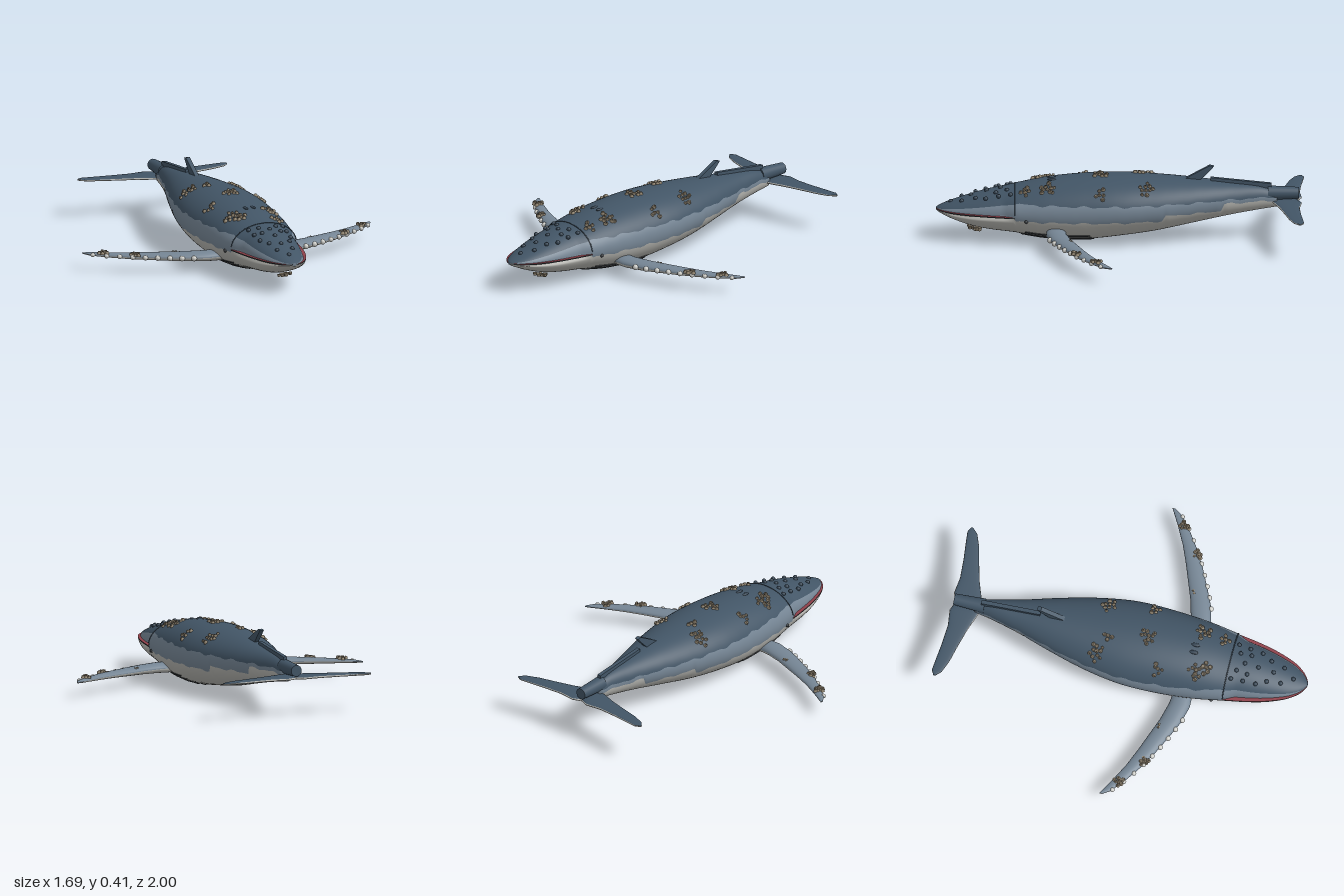
import * as THREE from 'three';

const mat = (name, color) => {
  const m = new THREE.MeshStandardMaterial({ color });
  m.name = name;
  return m;
};

// Body stations: z, half width, top y, bottom y
const STATIONS = [
  [1, 0.012, 0.178, 0.164], [0.98, 0.045, 0.188, 0.152], [0.95, 0.075, 0.2, 0.138], [0.9, 0.107, 0.218, 0.116],
  [0.8, 0.145, 0.25, 0.083], [0.7, 0.17, 0.277, 0.064], [0.57, 0.193, 0.303, 0.048], [0.4, 0.22, 0.337, 0.02],
  [0.2, 0.236, 0.358, 0.012], [0, 0.236, 0.363, 0.032], [-0.2, 0.205, 0.355, 0.06], [-0.4, 0.153, 0.34, 0.1],
  [-0.6, 0.092, 0.318, 0.14], [-0.75, 0.054, 0.3, 0.166], [-0.85, 0.034, 0.272, 0.182],
];

// Smooth interpolation between the stations
function station(z) {
  const S = STATIONS, last = S.length - 1;
  let i = 0;
  while (i < last - 1 && z < S[i + 1][0]) i++;
  const slope = (k, c) => {
    const a = S[Math.max(k - 1, 0)], b = S[Math.min(k + 1, last)];
    return (b[c] - a[c]) / (b[0] - a[0]);
  };
  const h = S[i + 1][0] - S[i][0], t = THREE.MathUtils.clamp((z - S[i][0]) / h, 0, 1);
  const [w, top, bot] = [1, 2, 3].map((c) =>
    S[i][c] * (2 * t ** 3 - 3 * t * t + 1) + S[i + 1][c] * (3 * t * t - 2 * t ** 3) +
    h * (slope(i, c) * (t ** 3 - 2 * t * t + t) + slope(i + 1, c) * (t ** 3 - t * t)));
  return { w, cy: (top + bot) / 2, h: (top - bot) / 2 };
}

// Point and normal on the skin at z and girth angle (0 = left side, 90 degrees = back)
function skin(z, a, lift = 0) {
  const s = station(z);
  const normal = new THREE.Vector3(Math.cos(a) / s.w, Math.sin(a) / s.h, 0).normalize();
  const point = new THREE.Vector3(s.w * Math.cos(a), s.cy + s.h * Math.sin(a), z).addScaledVector(normal, lift);
  return { point, normal };
}
const skinAbove = (x, z, lift) => skin(z, Math.acos(x / station(z).w), lift);

// Girth angle at which the skin reaches height y
function angleAt(z, y) {
  const s = station(z);
  return Math.asin(THREE.MathUtils.clamp((y - s.cy) / s.h, -0.9, 0.9));
}

// Closed loft through rings; slot(j) picks the material of each strip
function loft(name, rings, slot, materials, flip = false) {
  const n = rings[0].length, lists = materials.map(() => []), pos = [];
  const tri = (m, a, b, c) => lists[m].push(...(flip ? [a, c, b] : [a, b, c]));
  rings.forEach((r) => r.forEach((p) => pos.push(p.x, p.y, p.z)));
  for (let i = 0; i < rings.length - 1; i++) {
    for (let j = 0; j < n; j++) {
      const a = i * n + j, b = i * n + (j + 1) % n;
      tri(slot(j), a, a + n, b);
      tri(slot(j), b, a + n, b + n);
    }
  }
  const e = (rings.length - 1) * n;
  for (let j = 1; j < n - 1; j++) {
    tri(slot(j), 0, j, j + 1);
    tri(slot(j), e, e + j + 1, e + j);
  }
  const g = new THREE.BufferGeometry();
  g.setAttribute('position', new THREE.Float32BufferAttribute(pos, 3));
  g.setIndex(lists.flat());
  let start = 0;
  lists.forEach((l, m) => { g.addGroup(start, l.length, m); start += l.length; });
  g.computeVertexNormals();
  const mesh = new THREE.Mesh(g, materials);
  mesh.name = name;
  return mesh;
}

export function createModel() {
  const whale = new THREE.Group();
  whale.name = 'whale';
  const dark = mat('dark slate skin', 0x425566);
  const mid = mat('pale slate skin', 0x758594);
  const light = mat('light belly', 0xb6b6b1);
  const bump = mat('head bump', 0x354452);
  const groove = mat('groove shadow', 0x383c40);
  const lip = mat('lip red', 0x8f404a);
  const shell = mat('barnacle shell', 0x988b76);
  const hole = mat('barnacle opening', 0x4d4439);
  const knob = mat('pale knob', 0xcfcfca);
  const add = (name, geo, material, parent = whale) => {
    const m = new THREE.Mesh(geo, material);
    m.name = name;
    parent.add(m);
    return m;
  };
  let seed = 7;
  const rand = () => (seed = (seed * 16807) % 2147483647) / 2147483647;

  // Body: light belly, pale flank band, dark back; the upper jaw is narrower than the lower
  const H = 31, rings = [];
  for (let i = 0; i <= 100; i++) {
    const u = i / 100, z = 1 - 1.85 * u ** 1.2, head = z > 0.57;
    const wave = 0.004 * Math.sin(z * 40) + 0.003 * Math.sin(z * 71);
    const edge = angleAt(z, head ? 0.176 + (1 - z) * 0.15 : 0.245 + wave);
    const low = head ? 0 : Math.min(angleAt(z, (z > -0.24 ? 0.155 : z > -0.55 ? 0.185 : 0.225) + wave), edge);
    const jaw = 1 - 0.11 * THREE.MathUtils.clamp((z - 0.57) / 0.06, 0, 1);
    const ring = [];
    for (let j = 0; j < 2 * H; j++) {
      const k = j <= H ? j : 2 * H - j;
      const a = k <= 12 ? -Math.PI / 2 + (low + Math.PI / 2) * k / 12
        : k <= 18 ? low + (edge - low) * (k - 12) / 6
          : edge + (Math.PI / 2 - edge) * (k - 18) / 13;
      const { point } = skin(z, j <= H ? a : Math.PI - a);
      if (k >= 12) point.x *= jaw;
      ring.push(point);
    }
    rings.push(ring);
  }
  whale.add(loft('body', rings, (j) => {
    const k = j < H ? j : 2 * H - 1 - j;
    return k < 12 ? 0 : k < 18 ? 1 : 2;
  }, [light, mid, dark]));

  // Red rim of the lower jaw, a thin plate under the upper jaw
  const rim = [];
  for (let i = -24; i <= 24; i++) {
    const z = 1 - 0.43 * (i / 24) ** 2;
    rim.push(new THREE.Vector2(Math.sign(i) * (station(z).w + 0.002), -z));
  }
  const rimGeo = new THREE.ExtrudeGeometry(new THREE.Shape(rim), { depth: 0.006, bevelEnabled: false });
  rimGeo.rotateX(-Math.PI / 2).translate(0, 0.169, 0);
  add('lip', rimGeo, [lip, groove]);

  // Head seam and throat grooves
  const seam = [];
  for (let i = 0; i <= 20; i++) seam.push(skin(0.57, 0.1 + (Math.PI - 0.2) * i / 20).point);
  add('headSeam', new THREE.TubeGeometry(new THREE.CatmullRomCurve3(seam), 40, 0.003, 5), bump);
  for (let i = -5; i <= 5; i++) {
    const a = -Math.PI / 2 + i * 0.165, short = Math.abs(i) * 0.008, pts = [];
    for (let k = 0; k <= 14; k++) pts.push(skin(0.555 - short - (0.43 - 2 * short) * k / 14, a, 0.001).point);
    add('throatGroove', new THREE.TubeGeometry(new THREE.CatmullRomCurve3(pts), 30, 0.0048, 6), groove);
  }

  // Fin lofted from sections: x, leading z, trailing z, half thickness; the rims stay light if asked
  const fin = (name, sections, y, side, isTop, mats, power) => loft(name, sections.map(([x, lead, trail, t]) => {
    const ring = [];
    for (let j = 0; j < 20; j++) {
      const a = j / 20 * Math.PI * 2, s = j % 10 ? Math.sin(a) : 0;
      ring.push(new THREE.Vector3(side * x, y(x) + t * Math.sign(s) * Math.abs(s) ** power,
        (lead + trail) / 2 + (lead - trail) / 2 * Math.cos(a)));
    }
    return ring;
  }), (j) => (isTop(j) ? 0 : 1), mats, side < 0);

  const FLIPPER = [[0.14, 0.4, 0.3, 0.03], [0.25, 0.402, 0.288, 0.028], [0.35, 0.375, 0.262, 0.025],
    [0.45, 0.33, 0.225, 0.022], [0.55, 0.282, 0.188, 0.019], [0.65, 0.225, 0.147, 0.016],
    [0.75, 0.157, 0.096, 0.012], [0.82, 0.098, 0.056, 0.008], [0.845, 0.06, 0.042, 0.004]];
  const FLUKE = [[0, -0.815, -0.965, 0.009], [0.05, -0.83, -0.985, 0.009], [0.14, -0.863, -0.973, 0.009],
    [0.25, -0.893, -0.98, 0.008], [0.34, -0.915, -0.99, 0.007], [0.41, -0.942, -0.997, 0.006], [0.437, -0.97, -0.983, 0.005]];
  const finY = (x) => 0.09 + 0.006 * x;
  const leadAt = (x) => {
    const i = FLIPPER.findIndex((s) => s[0] >= x), a = FLIPPER[i - 1], b = FLIPPER[i];
    return a[1] + (b[1] - a[1]) * (x - a[0]) / (b[0] - a[0]);
  };
  const ball = new THREE.SphereGeometry(1, 14, 10);
  for (const side of [1, -1]) {
    whale.add(fin('flipper', FLIPPER, finY, side, (j) => j < 10, [mid, light], 1));
    whale.add(fin('tailFluke', FLUKE, () => 0.215, side, (j) => j > 0 && j < 9, [dark, light], 0.5));
    // Knobs on the leading edge of the flipper
    for (let i = 0; i < 9; i++) {
      const x = 0.33 + i * 0.06, k = add('flipperKnob', ball, knob);
      k.scale.setScalar(0.0155 - i * 0.0004);
      k.position.set(side * x, finY(x), leadAt(x));
    }
    // Eye and blowhole
    const eye = add('eye', ball, groove);
    eye.position.set(side * (station(0.51).w - 0.002), 0.155, 0.51);
    eye.scale.setScalar(0.01);
    const blow = add('blowhole', ball, bump);
    blow.position.copy(skinAbove(side * 0.022, 0.37, 0).point);
    blow.scale.set(0.011, 0.007, 0.025);
  }

  // Bumps on top of the head
  const bumps = [[0.1, 0.595], [0.05, 0.615], [0, 0.65], [0.095, 0.66], [0.055, 0.675], [0, 0.725], [0.09, 0.73],
    [0.06, 0.785], [0, 0.81], [0.045, 0.86], [0, 0.92]];
  for (const [x, z] of bumps) for (const side of x ? [1, -1] : [1]) {
    const b = add('headBump', ball, bump);
    b.position.copy(skinAbove(side * x, z, -0.001).point);
    b.scale.setScalar(0.012);
  }

  // Side outline extruded across x: points are z, y
  const blade = (name, pts, half) => {
    const shape = new THREE.Shape(pts.map(([z, y]) => new THREE.Vector2(-z, y)));
    const g = new THREE.ExtrudeGeometry(shape, { depth: half * 2, bevelEnabled: false });
    g.translate(0, 0, -half).rotateY(Math.PI / 2);
    add(name, g, dark);
  };
  blade('dorsalFin', [[-0.34, 0.335], [-0.43, 0.385], [-0.485, 0.415], [-0.507, 0.41], [-0.475, 0.375], [-0.43, 0.33]], 0.012);
  blade('backKeel', [[-0.49, 0.3], [-0.49, 0.347], [-0.82, 0.313], [-0.82, 0.26]], 0.011);

  // Tail stock
  const stock = add('tailStock', new THREE.CylinderGeometry(0.04, 0.031, 0.17, 24), dark);
  stock.rotation.x = Math.PI / 2;
  stock.position.set(0, 0.258, -0.885);

  // Barnacle clusters
  const cone = new THREE.CylinderGeometry(0.007, 0.011, 0.014, 8);
  const mouth = new THREE.CylinderGeometry(0.0032, 0.0032, 0.002, 8);
  const up = new THREE.Vector3(0, 1, 0);
  const cluster = (count, radius, place) => {
    const g = new THREE.Group();
    g.name = 'barnacleCluster';
    for (let i = 0; i < count; i++) {
      const r = radius * Math.sqrt((i + 0.3) / count), a = i * 2.4 + rand() * 0.6;
      const { point, normal } = place(r * Math.cos(a), r * Math.sin(a));
      const b = new THREE.Group();
      b.name = 'barnacle';
      add('barnacleShell', cone, shell, b);
      add('barnacleOpening', mouth, hole, b).position.y = 0.0072;
      b.position.copy(point);
      b.quaternion.setFromUnitVectors(up, normal);
      b.scale.setScalar(0.8 + rand() * 0.5);
      g.add(b);
    }
    whale.add(g);
  };
  const patches = [[-0.14, -0.145, 11], [-0.05, -0.105, 4], [0.14, -0.14, 10], [0, 0.11, 11], [0.175, 0.11, 6],
    [-0.16, 0.2, 6], [-0.115, 0.4, 10], [-0.09, 0.455, 6], [0.11, 0.395, 11], [0.1, 0.515, 6]];
  for (const [x, z, n] of patches) cluster(n, 0.0135 * Math.sqrt(n), (dx, dz) => skinAbove(x + dx, z + dz, 0.004));
  cluster(9, 0.035, (dx, dz) => skin(0.795 + dz, -Math.PI / 2 + 0.15 + dx * 8, 0.018));
  for (const side of [1, -1]) for (const [x, z, n] of [[0.76, 0.13, 8], [0.615, 0.235, 7], [0.4, 0.265, 2]])
    cluster(n, 0.01 * Math.sqrt(n), (dx, dz) => ({
      point: new THREE.Vector3(side * (x + dx), finY(x) + 0.016, z + dz), normal: up }));

  return whale;
}
